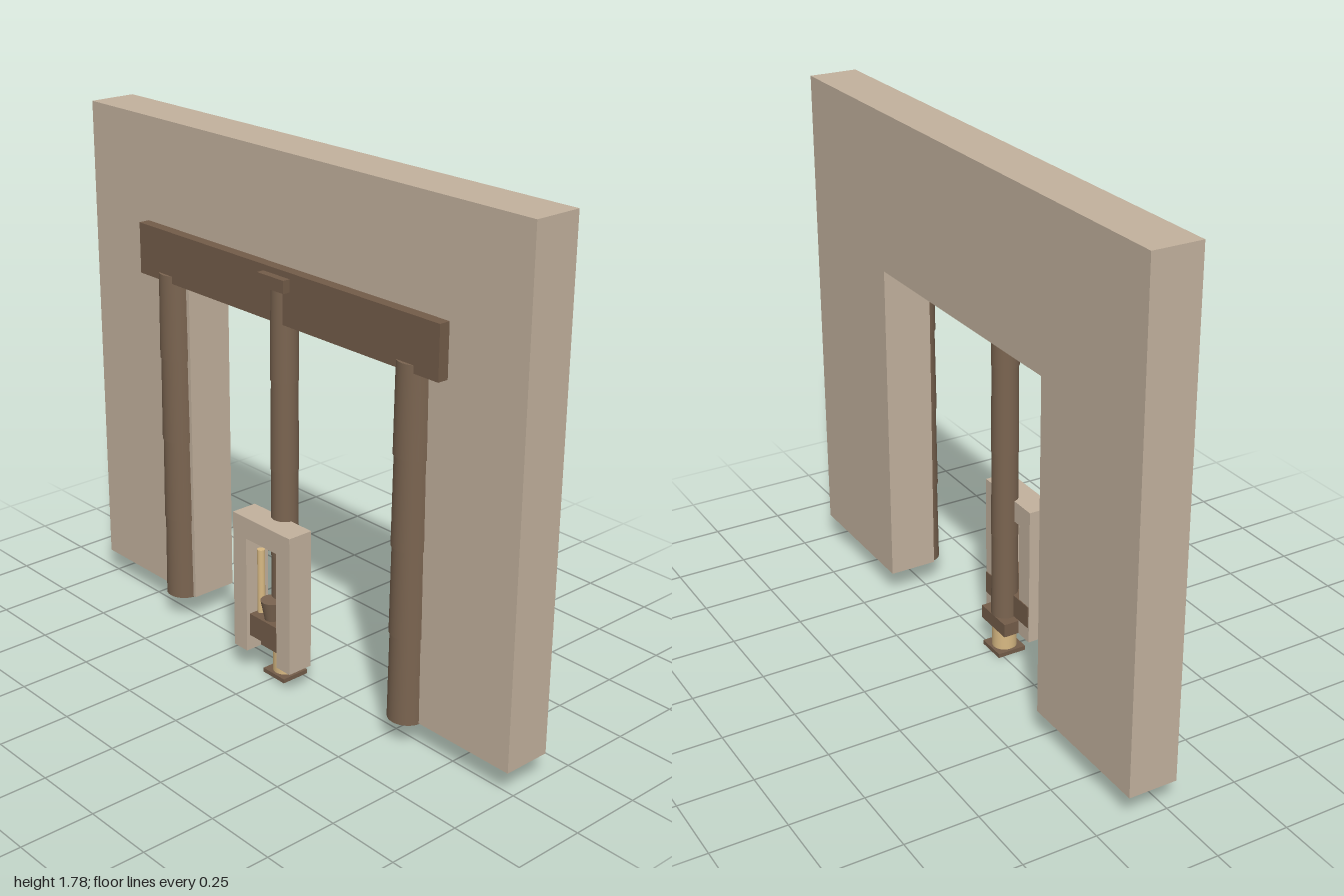
import * as THREE from 'three';

const mat = (color) => new THREE.MeshStandardMaterial({ color });

export function createModel() {
  const group = new THREE.Group();
  const stone = mat(0xc2b19d);
  const timber = mat(0x735c49);
  const log = mat(0x7a6450);
  const brass = mat(0xd8b983);

  const add = (name, geometry, material, x = 0, y = 0, z = 0) => {
    const mesh = new THREE.Mesh(geometry, material);
    mesh.name = name;
    mesh.position.set(x, y, z);
    group.add(mesh);
    return mesh;
  };

  // Box given by its limits
  const box = (name, material, [x0, x1], [y0, y1], [z0, z1]) =>
    add(name, new THREE.BoxGeometry(x1 - x0, y1 - y0, z1 - z0), material,
      (x0 + x1) / 2, (y0 + y1) / 2, (z0 + z1) / 2);

  // Upright cylinder or cone between two heights
  const column = (name, material, rTop, rBottom, [y0, y1], x, z) =>
    add(name, new THREE.CylinderGeometry(rTop, rBottom, y1 - y0, 32), material,
      x, (y0 + y1) / 2, z);

  // Portal outline: a block with an opening rising from its foot
  const portal = (name, w, y0, y1, openW, openTop, z0, z1) => {
    const shape = new THREE.Shape([
      [-w, y0], [-openW, y0], [-openW, openTop], [openW, openTop],
      [openW, y0], [w, y0], [w, y1], [-w, y1],
    ].map(([x, y]) => new THREE.Vector2(x, y)));
    const geometry = new THREE.ExtrudeGeometry(shape, { depth: z1 - z0, bevelEnabled: false });
    return add(name, geometry, stone, 0, 0, z0);
  };

  // Stack of slightly tapered drums
  const drums = (name, r, joints, x, z) => {
    for (let i = 0; i < joints.length - 1; i++) {
      column(name + 'Drum' + (i + 1), log, r * 0.95, r, [joints[i], joints[i + 1]], x, z);
    }
  };

  // Wall and the beam across it
  portal('wall', 1, 0.09, 1.78, 0.49, 1.24, -0.138, 0.03);
  box('beam', timber, [-0.7, 0.7], [1.25, 1.425], [0.03, 0.068]);

  // Side posts, half sunk into the wall
  for (const side of [-1, 1]) {
    drums(side > 0 ? 'leftPost' : 'rightPost', 0.064,
      [0.087, 0.385, 0.68, 0.977, 1.275], side * 0.565, 0.019);
  }

  // Hanging centre pole and its cap
  drums('centrePole', 0.046, [0.14, 0.445, 0.75, 1.055, 1.365], 0, 0.035);
  box('poleCap', timber, [-0.062, 0.062], [1.363, 1.405], [0.06, 0.094]);

  // Frame around the foot of the pole
  portal('frame', 0.14, 0.09, 0.58, 0.075, 0.505, 0.045, 0.138);
  box('frameCrossbar', timber, [-0.136, 0.136], [0.145, 0.225], [0.042, 0.125]);
  for (const side of [-1, 1]) {
    column(side > 0 ? 'leftGuideRod' : 'rightGuideRod', brass, 0.013, 0.013,
      [0.2, 0.455], side * 0.062, 0.085);
  }
  column('cup', log, 0.038, 0.024, [0.225, 0.295], 0, 0.092);

  // Foot below the pole
  box('footBlock', timber, [-0.075, 0.075], [0.092, 0.14], [-0.01, 0.078]);
  column('footCollar', brass, 0.042, 0.042, [0.015, 0.092], 0, 0.034);
  box('footPlate', timber, [-0.052, 0.052], [0, 0.015], [-0.018, 0.086]);

  return group;
}
